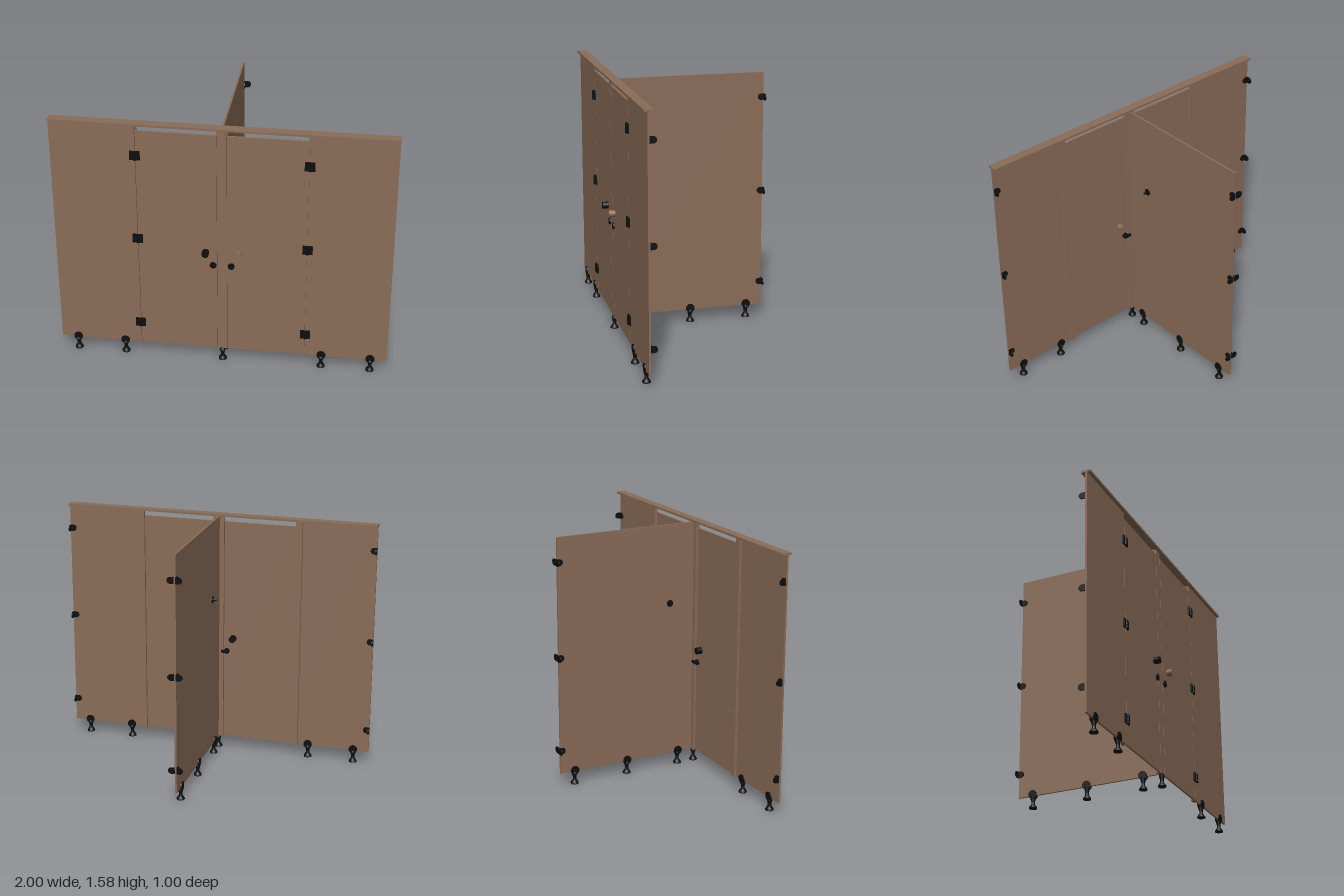
import * as THREE from 'three';

export function createModel() {
  const model = new THREE.Group();
  const board = new THREE.MeshStandardMaterial({ color: 0x8a6c58 });
  board.name = 'brown board';
  const black = new THREE.MeshStandardMaterial({ color: 0x0e0e0e });
  black.name = 'black fittings';

  const add = (parent, name, geometry, material, x = 0, y = 0, z = 0) => {
    const mesh = new THREE.Mesh(geometry, material);
    mesh.name = name;
    mesh.position.set(x, y, z);
    parent.add(mesh);
    return mesh;
  };
  // Box given by its limits on each axis
  const slab = (parent, name, material, [x0, x1], [y0, y1], [z0, z1]) =>
    add(parent, name, new THREE.BoxGeometry(x1 - x0, y1 - y0, z1 - z0), material,
      (x0 + x1) / 2, (y0 + y1) / 2, (z0 + z1) / 2);
  const discZ = (r, depth, seg = 24) => new THREE.CylinderGeometry(r, r, depth, seg).rotateX(Math.PI / 2);
  const group = (name, x, y, z) => {
    const g = new THREE.Group();
    g.name = name;
    g.position.set(x, y, z);
    model.add(g);
    return g;
  };

  const bottom = 0.08, top = 1.567;
  const front = [0.446, 0.458], behind = [0.431, 0.446];
  const fixingHeights = [0.23, 0.825, 1.415];

  // Dividing wall, centre post and top rail
  slab(model, 'partition', board, [-0.006, 0.006], [bottom, top], [-0.492, 0.431]);
  slab(model, 'centrePost', board, [-0.028, 0.028], [bottom, top], front);
  slab(model, 'centreStop', board, [-0.035, 0.035], [bottom, top], behind);
  slab(model, 'topRail', board, [-1, 1], [top, 1.58], [0.42, 0.477]);

  // Adjustable foot: flared base, stem and round clips on both faces of a board
  const footProfile = [[0, 0], [0.025, 0], [0.025, 0.006], [0.018, 0.018], [0.011, 0.026],
    [0.011, 0.045], [0.016, 0.06], [0.016, 0.078], [0, 0.078]].map(p => new THREE.Vector2(...p));
  const addFoot = (x, z, turn) => {
    const foot = group('foot', x, 0, z);
    foot.rotation.y = turn;
    add(foot, 'footStem', new THREE.LatheGeometry(footProfile, 20), black);
    for (const s of [-1, 1]) add(foot, 'footClip', discZ(0.027, 0.008), black, 0, 0.088, s * 0.0105);
  };
  for (const x of [-0.9, -0.603, 0.603, 0.9]) addFoot(x, 0.452, 0);
  for (const z of [-0.395, -0.032, 0.333]) addFoot(0, z, Math.PI / 2);
  // Plain foot below the centre post
  add(model, 'centreFoot', new THREE.LatheGeometry(footProfile, 20), black, 0, 0, 0.452);

  // Rounded bracket leaf, straight edge at x = 0, reaching to +x
  const leafShape = new THREE.Shape();
  leafShape.moveTo(0, -0.02);
  leafShape.lineTo(0.02, -0.02);
  leafShape.absarc(0.02, 0, 0.02, -Math.PI / 2, Math.PI / 2, false);
  leafShape.lineTo(0, 0.02);
  leafShape.closePath();
  const leafGeometry = new THREE.ExtrudeGeometry(leafShape, { depth: 0.006, bevelEnabled: false, curveSegments: 14 });
  // Angle bracket: one leaf along x, the other along z
  const addBracket = (x, y, z, turn) => {
    const bracket = group('wallBracket', x, y, z);
    bracket.rotation.y = turn;
    add(bracket, 'bracketLeaf', leafGeometry, black);
    add(bracket, 'bracketLeaf', leafGeometry, black, 0.006).rotation.y = -Math.PI / 2;
  };

  for (const s of [-1, 1]) {
    const span = (a, b) => (s > 0 ? [a, b] : [-b, -a]);
    // Side panel, door and the stop behind their joint
    slab(model, 'sidePanel', board, span(0.502, 1), [bottom, top], front);
    slab(model, 'door', board, span(0.031, 0.499), [bottom, 1.53], front);
    slab(model, 'doorStop', board, span(0.492, 0.535), [bottom, top], behind);

    // Hinges: two leaves and a three-part barrel
    for (const y of [0.23, 0.825, 1.375]) {
      const hinge = group('hinge', s * 0.502, y, 0.458);
      for (const side of [-1, 1])
        add(hinge, 'hingeLeaf', new THREE.BoxGeometry(0.028, 0.055, 0.01), black, side * 0.016, 0, 0.005);
      for (const k of [-1, 0, 1])
        add(hinge, 'hingeBarrel', new THREE.CylinderGeometry(0.008, 0.008, 0.0165, 14), black, 0, k * 0.019, 0.01);
    }

    // Door knob on both faces, black on one door and brown on the other
    const knobMaterial = s > 0 ? board : black;
    const knob = group('doorKnob', s * 0.097, 0.765, 0.452);
    add(knob, 'knobStem', discZ(0.013, 0.07), knobMaterial);
    for (const side of [-1, 1]) add(knob, 'knobGrip', discZ(0.021, 0.034), knobMaterial, 0, 0, side * 0.0285);

    // Lock: round plate outside, bolt and turn inside
    const lock = group('lock', s * 0.054, 0.675, 0);
    add(lock, 'lockPlate', discZ(0.02, 0.01), black, 0, 0, 0.462);
    add(lock, 'lockBody', discZ(0.018, 0.012), black, 0, 0, 0.44);
    add(lock, 'lockBolt', new THREE.BoxGeometry(0.05, 0.016, 0.014), black, -s * 0.008, 0, 0.426);

    // Wall brackets at the panel end and at the back of the partition
    for (const y of fixingHeights) {
      addBracket(s, y, 0.446, s > 0 ? Math.PI : Math.PI / 2);
      addBracket(s * 0.006, y, -0.498, s > 0 ? 0 : -Math.PI / 2);
    }

    // Coat hook
    const hook = group('coatHook', s * 0.006, 1.07, 0.267);
    add(hook, 'hookPlate', new THREE.CylinderGeometry(0.021, 0.021, 0.006, 24).rotateZ(Math.PI / 2), black, s * 0.003);
    add(hook, 'hookPeg', new THREE.CylinderGeometry(0.006, 0.006, 0.03, 14).rotateZ(Math.PI / 2), black, s * 0.016);
  }

  // Orient the mirrored brackets so their leaves lie against wall and board
  model.traverse(o => {
    if (o.name !== 'wallBracket') return;
    const { x, z } = o.position, s = Math.sign(x), [alongX, alongZ] = o.children;
    o.rotation.y = 0;
    const atPanel = z > 0;
    // Leaf in the xy plane
    alongX.rotation.set(0, 0, (atPanel ? -s : s) > 0 ? 0 : Math.PI);
    alongX.position.set(0, 0, atPanel ? -0.006 : -0.002);
    // Leaf in the yz plane
    alongZ.rotation.set(0, atPanel ? Math.PI / 2 : -Math.PI / 2, 0);
    alongZ.position.set(atPanel ? (s > 0 ? -0.006 : 0) : (s > 0 ? 0.006 : 0), 0, 0);
  });
  return model;
}
